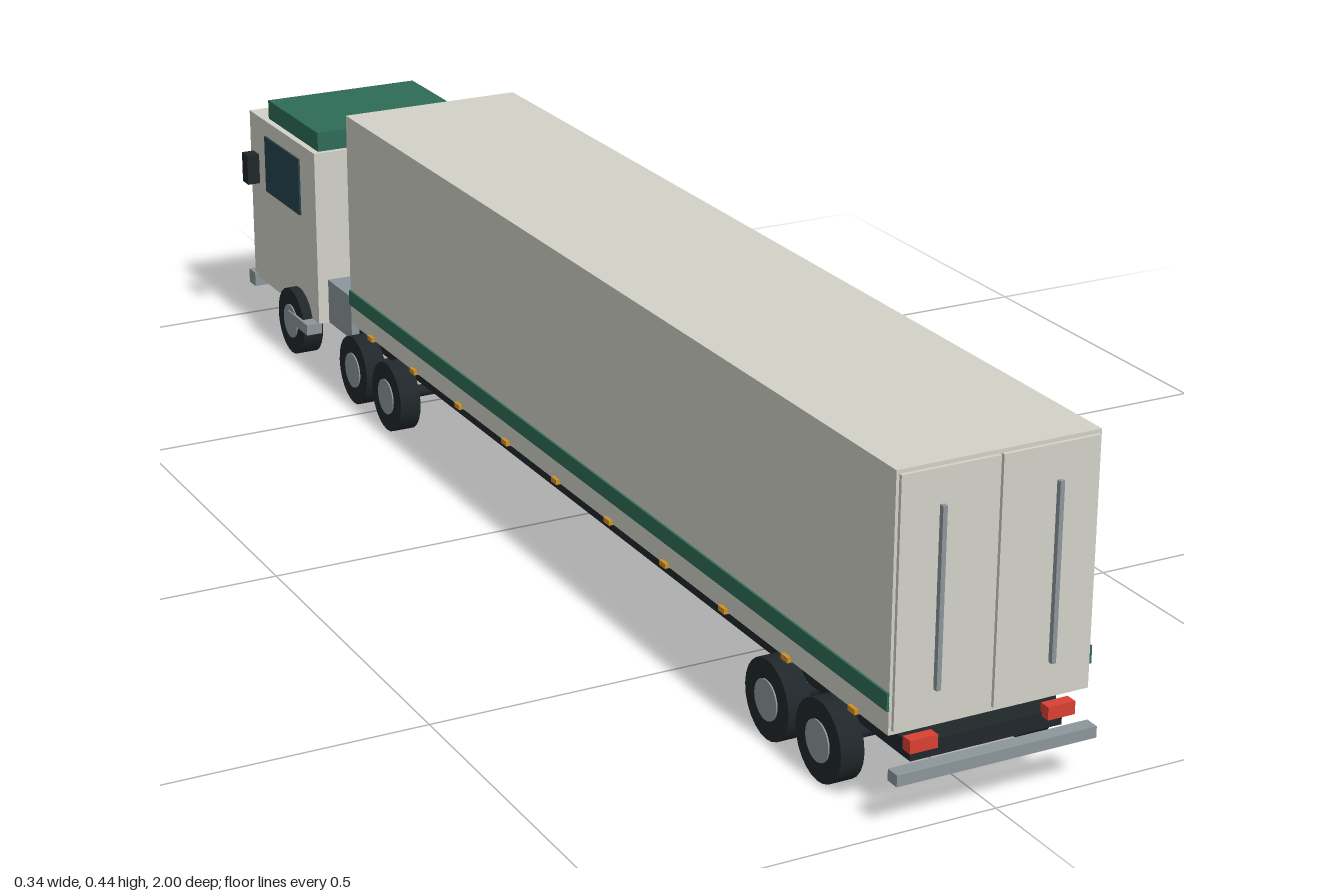
import * as THREE from 'three';

const mat = (color) => new THREE.MeshStandardMaterial({ color });

export function createModel() {
  const truck = new THREE.Group();
  truck.name = 'semiTrailerTruck';
  const cream = mat(0xd2d2c8), green = mat(0x2f6b58), steel = mat(0x8c969a), dark = mat(0x20272a),
    glass = mat(0x27434f), red = mat(0xd94032), amber = mat(0xd09020), lamp = mat(0xc4d0d6);

  // Box given by its limits on each axis
  const box = (name, m, [x0, x1], [y0, y1], [z0, z1], parent = truck) => {
    const mesh = new THREE.Mesh(new THREE.BoxGeometry(x1 - x0, y1 - y0, z1 - z0), m);
    mesh.position.set((x0 + x1) / 2, (y0 + y1) / 2, (z0 + z1) / 2);
    mesh.name = name;
    parent.add(mesh);
    return mesh;
  };
  // The same box on both sides
  const pair = (name, m, [x0, x1], y, z, parent) => {
    box(name + 'Left', m, [x0, x1], y, z, parent);
    box(name + 'Right', m, [-x1, -x0], y, z, parent);
  };
  // Cylinder lying along x
  const rod = (name, m, r, length, x, y, z, parent, sides = 24) => {
    const mesh = new THREE.Mesh(new THREE.CylinderGeometry(r, r, length, sides), m);
    mesh.rotation.z = Math.PI / 2;
    mesh.position.set(x, y, z);
    mesh.name = name;
    parent.add(mesh);
  };
  const group = (name) => {
    const g = new THREE.Group();
    g.name = name;
    truck.add(g);
    return g;
  };

  // Trailer body with side stripes and marker lights
  const trailer = group('trailer');
  box('cargoBox', cream, [-0.138, 0.138], [0.116, 0.445], [-0.58, 0.978], trailer);
  pair('sideStripe', green, [0.137, 0.141], [0.147, 0.17], [-0.58, 0.978], trailer);
  for (let i = 0; i < 10; i++) {
    const z = -0.5 + i * 0.156;
    pair('markerLight', amber, [0.135, 0.143], [0.114, 0.121], [z - 0.008, z + 0.008], trailer);
  }

  // Rear doors, lock bars, lights and bumper
  const rear = group('rearEnd');
  pair('rearDoor', cream, [0.002, 0.134], [0.122, 0.44], [0.977, 0.983], rear);
  pair('lockBar', steel, [0.076, 0.082], [0.165, 0.395], [0.982, 0.99], rear);
  pair('tailLight', red, [0.076, 0.114], [0.091, 0.108], [0.972, 0.988], rear);
  box('rearBumper', steel, [-0.138, 0.138], [0.06, 0.075], [0.98, 1.0], rear);

  // Chassis and the deck behind the cab
  box('chassis', dark, [-0.105, 0.105], [0.074, 0.096], [-0.72, 0.975]);
  box('rearDeck', steel, [-0.118, 0.118], [0.07, 0.14], [-0.72, -0.628]);

  // Axles and wheels
  [0.845, 0.722, -0.422, -0.547, -0.795].forEach((z) => {
    const axle = group('wheelAxle');
    rod('axle', dark, 0.009, 0.25, 0, 0.053, z, axle, 12);
    for (const s of [-1, 1]) {
      rod('tire', dark, 0.053, 0.032, s * 0.135, 0.053, z, axle);
      rod('hub', steel, 0.027, 0.036, s * 0.135, 0.053, z, axle);
    }
  });

  // Cab, facing -z
  const cab = group('cab');
  box('cabBody', cream, [-0.135, 0.135], [0.07, 0.347], [-0.985, -0.718], cab);
  box('roofFairing', green, [-0.125, 0.125], [0.346, 0.377], [-0.928, -0.726], cab);
  box('windshield', glass, [-0.112, 0.112], [0.232, 0.322], [-0.99, -0.984], cab);
  pair('sideWindow', glass, [0.134, 0.138], [0.231, 0.322], [-0.918, -0.778], cab);
  pair('mirror', dark, [0.148, 0.168], [0.246, 0.294], [-0.94, -0.917], cab);
  pair('step', steel, [0.13, 0.155], [0.053, 0.07], [-0.80, -0.72], cab);

  // Grille, headlights and front bumper
  box('grille', dark, [-0.095, 0.095], [0.103, 0.163], [-0.99, -0.984], cab);
  for (let i = 0; i < 4; i++) {
    const y = 0.112 + i * 0.014;
    box('grilleBar', steel, [-0.09, 0.09], [y - 0.002, y + 0.002], [-0.993, -0.989], cab);
  }
  pair('headlight', lamp, [0.08, 0.122], [0.088, 0.108], [-0.994, -0.984], cab);
  box('frontBumper', steel, [-0.14, 0.14], [0.053, 0.076], [-1.0, -0.975], cab);

  return truck;
}
